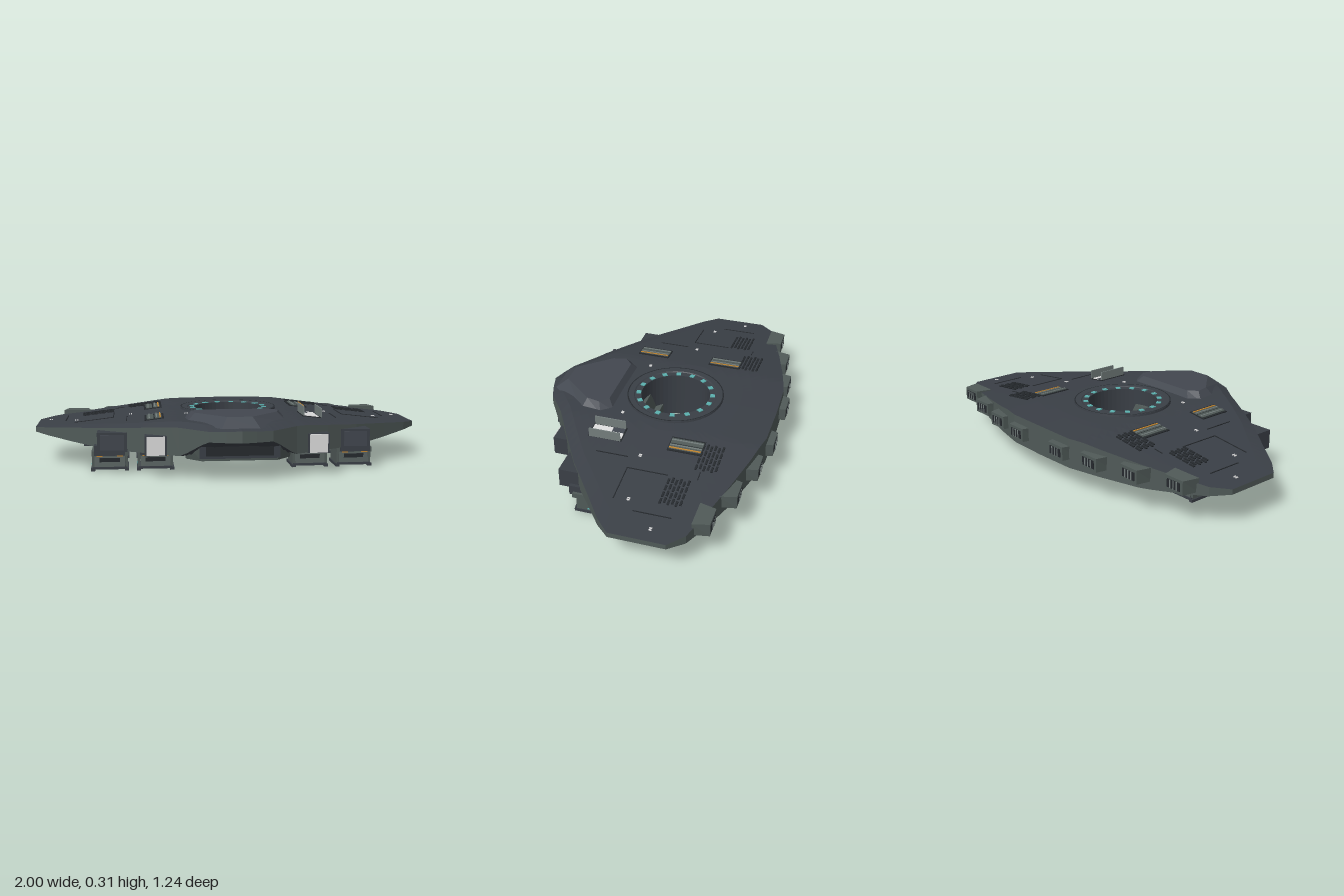
import * as THREE from 'three';

const mat = (name, color) => Object.assign(new THREE.MeshStandardMaterial({ color, flatShading: true }), { name });
const M = {
  hull: mat('slate hull', 0x3a3f46),
  panel: mat('raised panel', 0x42474f),
  wall: mat('grey green wall', 0x505a58),
  trim: mat('dark trim', 0x25292d),
  metal: mat('light metal', 0x737d7c),
  white: mat('white interior', 0xdcdcdc),
  teal: mat('teal light', 0x5bb0ae),
  orange: mat('orange mark', 0xc4862f),
};
const CZ = -0.06; // centre of the round shaft

// Piecewise linear lookup
function lookup(table, v) {
  for (let i = 1; i < table.length; i++) {
    const [a, ya] = table[i - 1], [b, yb] = table[i];
    if (v <= b) return ya + (yb - ya) * (v - a) / (b - a);
  }
  return table[table.length - 1][1];
}

// Joins closed rings of points, listed counterclockwise from above and top to bottom
function loft(parent, name, rings, material) {
  const pos = [], index = [], n = rings[0].length;
  rings.forEach(r => r.forEach(p => pos.push(...p)));
  for (let i = 0; i < rings.length - 1; i++) for (let j = 0; j < n; j++) {
    const a = i * n + j, d = i * n + (j + 1) % n, b = a + n, c = d + n;
    index.push(a, b, c, a, c, d);
  }
  const g = new THREE.BufferGeometry();
  g.setAttribute('position', new THREE.Float32BufferAttribute(pos, 3));
  g.setIndex(index);
  const flat = g.toNonIndexed();
  flat.computeVertexNormals();
  const mesh = new THREE.Mesh(flat, material);
  mesh.name = name;
  parent.add(mesh);
  return mesh;
}

// Solid between two plan polygons
function prism(parent, name, top, yTop, bottom, yBottom, material) {
  const at = (pts, y) => pts.map(([x, z]) => [x, y, z]);
  const mid = (pts, y) => {
    const cx = pts.reduce((s, p) => s + p[0], 0) / pts.length, cz = pts.reduce((s, p) => s + p[1], 0) / pts.length;
    return pts.map(() => [cx, y, cz]);
  };
  return loft(parent, name, [mid(top, yTop), at(top, yTop), at(bottom, yBottom), mid(bottom, yBottom)], material);
}
// Completes a right half, listed front to back, with its mirror image
const mirror = half => [...half, ...half.slice().reverse().filter(p => p[0] > 0).map(([x, z]) => [-x, z])];
const rect = (x0, x1, z0, z1) => [[x0, z1], [x1, z1], [x1, z0], [x0, z0]];

function box(parent, name, w, h, d, x, y, z, material) {
  const mesh = new THREE.Mesh(new THREE.BoxGeometry(w, h, d), material);
  mesh.position.set(x, y, z);
  mesh.name = name;
  parent.add(mesh);
  return mesh;
}
function group(parent, name) {
  const g = new THREE.Group();
  g.name = name;
  parent.add(g);
  return g;
}

const deckTable = [[0, 0.272], [0.3, 0.268], [1, 0.185]];
const keelTable = [[0, 0.112], [0.62, 0.112], [0.8, 0.132], [1, 0.16]];
const deckY = (x, z) => lookup(deckTable, Math.abs(x)) - Math.max(0, z - 0.45) * 0.13 - Math.max(0, -z - 0.4) * 0.05;
const keelY = (x, z) => lookup(keelTable, Math.abs(x)) + Math.min(0.08, Math.max(0, z - 0.47) * 0.9);

function buildHull(root) {
  const corners = mirror([[0, 0.61], [0.07, 0.592], [0.15, 0.565], [0.28, 0.465], [0.45, 0.365], [0.62, 0.26], [0.8, 0.125],
    [0.93, 0.03], [1, -0.04], [1, -0.31], [0.93, -0.38], [0.85, -0.41], [0.6, -0.49], [0.4, -0.545], [0.22, -0.585], [0, -0.59]]);
  const outline = [];
  corners.forEach(([x, z], i) => {
    const [x2, z2] = corners[(i + 1) % corners.length];
    for (let k = 0; k < 4; k++) outline.push([x + (x2 - x) * k / 4, z + (z2 - z) * k / 4]);
  });
  const ring = (f, height) => outline.map(([x, z]) => {
    const r = Math.hypot(x, z - CZ), s = (0.235 + (r - 0.235) * f) / r;
    const px = x * s, pz = CZ + (z - CZ) * s;
    return [px, height(px, pz), pz];
  });
  const steps = [0, 0.1, 0.2, 0.35, 0.5, 0.65, 0.76, 0.86];
  const top = steps.map(f => ring(f, deckY));
  // The front rim is bevelled
  const rim = ring(1, (x, z) => deckY(x, z) - (z > -0.04 ? 0.028 * (1 - Math.abs(x)) * Math.min(1, Math.abs(x) * 3 + 0.1) : 0));
  const keel = [...steps, 1].map(f => ring(f, keelY)).reverse();
  loft(root, 'deck', [...top, rim], M.hull);
  loft(root, 'rimWall', [rim, keel[0]], M.wall);
  loft(root, 'underside', keel, M.hull);
}

function buildShaft(root) {
  const shaft = group(root, 'centralShaft');
  shaft.position.z = CZ;
  const profile = [[0.178, 0.03], [0.22, 0.03], [0.25, 0.055], [0.25, 0.09], [0.235, 0.12], [0.235, 0.26], [0.25, 0.268],
    [0.248, 0.279], [0.215, 0.279], [0.21, 0.275], [0.178, 0.275], [0.178, 0.03]].map(p => new THREE.Vector2(...p));
  const collar = new THREE.Mesh(new THREE.LatheGeometry(profile, 48), M.hull);
  collar.name = 'collar';
  shaft.add(collar);
  // Thin seam round the collar
  const seam = new THREE.Mesh(new THREE.RingGeometry(0.243, 0.249, 48), M.trim);
  seam.name = 'collarSeam';
  seam.rotation.x = -Math.PI / 2;
  seam.position.y = 0.281;
  shaft.add(seam);
  for (let i = 0; i < 16; i++) {
    const spoke = group(shaft, 'shaftLight');
    spoke.rotation.y = (i + 0.5) * Math.PI / 8;
    box(spoke, 'upperLight', 0.024, 0.006, 0.024, 0, 0.276, 0.191, M.teal);
    box(spoke, 'lowerLight', 0.024, 0.006, 0.026, 0, 0.03, 0.195, M.teal);
    box(spoke, 'collarRib', 0.014, 0.03, 0.01, 0, 0.073, 0.25, M.wall);
  }
}

function buildNose(root) {
  prism(root, 'nosePlate', mirror([[0.06, 0.51], [0.2, 0.35], [0.215, 0.28], [0.17, 0.24]]), 0.302,
    mirror([[0.09, 0.57], [0.245, 0.37], [0.255, 0.26], [0.21, 0.205]]), 0.255, M.panel);
  const chin = group(root, 'chin');
  prism(chin, 'chinBlock', mirror([[0.2, 0.525], [0.27, 0.46], [0.25, 0.1]]), 0.195,
    mirror([[0.18, 0.515], [0.25, 0.44], [0.24, 0.08]]), 0.095, M.wall);
  prism(chin, 'chinKeel', mirror([[0.2, 0.42], [0.24, 0.05]]), 0.1, mirror([[0.19, 0.2], [0.21, 0.05]]), 0.045, M.wall);
  box(chin, 'chinFrame', 0.38, 0.075, 0.012, 0, 0.145, 0.522, M.hull);
  box(chin, 'chinWindow', 0.32, 0.05, 0.008, 0, 0.145, 0.526, M.trim);
}

// Side-facing bays in the front wall, engines and fins; s is the side
function buildSide(root, s) {
  const side = group(root, s > 0 ? 'leftSide' : 'rightSide');
  box(side, 'innerBay', 0.105, 0.095, 0.12, s * 0.392, 0.157, 0.38, M.hull);
  box(side, 'innerBayOpening', 0.088, 0.09, 0.006, s * 0.392, 0.157, 0.442, M.white);
  box(side, 'outerBay', 0.145, 0.095, 0.11, s * 0.6, 0.157, 0.265, M.hull);
  box(side, 'outerBayOpening', 0.115, 0.075, 0.006, s * 0.6, 0.157, 0.322, M.panel);

  for (const [x, z] of [[0.16, -0.62], [0.37, -0.59], [0.59, -0.54], [0.805, -0.47]]) {
    const engine = group(side, 'rearEngine');
    engine.position.set(s * x, 0, z);
    prism(engine, 'engineBody', [[-0.075, 0.08], [0.075, 0.08], [0.055, 0], [-0.055, 0]], 0.222,
      [[-0.07, 0.08], [0.07, 0.08], [0.055, 0], [-0.055, 0]], 0.155, M.wall);
    box(engine, 'engineNozzle', 0.08, 0.04, 0.004, 0, 0.188, -0.001, M.trim);
    for (const v of [-0.02, 0, 0.02]) box(engine, 'nozzleVane', 0.006, 0.04, 0.004, v, 0.188, -0.003, M.metal);
  }

  box(side, 'underFin', 0.16, 0.006, 0.1, s * 0.82, 0.117, -0.18, M.wall);
  box(side, 'finStrut', 0.06, 0.03, 0.06, s * 0.79, 0.13, -0.18, M.hull);
  box(side, 'bellyBlock', 0.5, 0.03, 0.08, s * 0.5, 0.108, 0, M.hull);

  for (const x of [0.39, 0.615]) for (const z of [0.155, -0.175]) buildPod(side, s * x, z, s);
}

// Landing pod: mount, hollow skirt and flared foot walls
function buildPod(parent, x, z, s) {
  const pod = group(parent, 'landingPod');
  pod.position.set(x, 0, z);
  box(pod, 'podMount', 0.15, 0.05, 0.22, 0, 0.107, 0, M.hull);
  box(pod, 'podTop', 0.178, 0.025, 0.18, 0, 0.088, 0, M.wall);
  box(pod, 'podCore', 0.13, 0.05, 0.11, 0, 0.058, 0, M.wall);
  box(pod, 'podInterior', 0.12, 0.004, 0.1, 0, 0.032, 0, M.metal);
  for (const k of [-1, 1]) {
    box(pod, 'sideSkirt', 0.012, 0.078, 0.14, k * 0.082, 0.042, 0, M.wall);
    box(pod, 'sideFoot', 0.02, 0.014, 0.16, k * 0.083, 0.007, 0, M.hull);
    box(pod, 'endSkirt', 0.15, 0.06, 0.01, 0, 0.048, k * 0.064, M.wall).rotation.x = -k * 0.2;
    box(pod, 'endFoot', 0.17, 0.012, 0.02, 0, 0.014, k * 0.07, M.hull);
    box(pod, 'endGrille', 0.1, 0.02, 0.004, 0, 0.054, k * 0.073, M.trim);
    box(pod, 'podLamp', 0.03, 0.01, 0.01, k * 0.05, 0.08, 0.094, M.orange);
  }
  box(pod, 'podSideLight', 0.005, 0.006, 0.03, s * 0.09, 0.025, 0, M.teal);
}

// Hatches, grilles, seams and marks lying on the sloping deck
function buildDeckDetails(root, s) {
  const place = (name, x, z) => {
    const g = group(root, name);
    g.position.set(s * x, deckY(x, z) + 0.002, z);
    g.rotation.z = x > 0.3 ? -s * 0.118 : 0;
    return g;
  };
  for (const z of [0.17, -0.23]) {
    const open = s > 0 && z > 0, hatch = place(open ? 'openHatch' : 'hatch', 0.393, z);
    box(hatch, 'hatchFrame', 0.096, 0.004, 0.17, 0, 0, 0, M.trim);
    if (open) {
      box(hatch, 'hatchInterior', 0.07, 0.005, 0.16, 0, 0.002, 0, M.white);
      box(hatch, 'hatchStep', 0.03, 0.006, 0.06, -0.02, 0.003, -0.05, M.panel);
      for (const k of [-1, 1]) box(hatch, 'hatchDoor', 0.006, 0.046, 0.16, k * 0.045, 0.024, 0, M.metal).rotation.z = 0.12;
    } else {
      for (const k of [-1, 1]) box(hatch, 'hatchDoor', 0.034, 0.006, 0.16, k * 0.02, 0.002, 0, M.wall);
      for (const v of [-0.024, 0.012]) box(hatch, 'hatchRib', 0.006, 0.004, 0.156, v, 0.006, 0, M.metal);
      box(hatch, 'hatchStripe', 0.007, 0.004, 0.156, 0.03, 0.006, 0, M.orange);
    }
  }
  for (const [x, z, w] of [[0.44, -0.36, 0.18], [0.69, -0.26, 0.17]]) {
    const grille = place('grille', x, z);
    for (let i = 0; i < 6; i++) for (let j = 0; j < 4; j++) {
      box(grille, 'grilleSlat', w / 5.5, 0.005, 0.01, (j - 1.5) * w / 4 + (i % 2) * 0.01, 0.001, (i - 2.5) * 0.019, M.trim);
    }
  }
  for (const [x, z] of [[0.935, -0.22], [0.79, -0.07], [0.51, -0.035], [0.23, 0.15]]) {
    const mark = place('deckMark', x, z);
    for (const v of [-0.007, 0.004]) box(mark, 'markBar', 0.006, 0.004, 0.014, v, 0.001, 0, M.white);
  }
  for (const [x, z, w, d] of [[0.6, -0.1, 0.004, 0.2], [0.7, 0, 0.2, 0.004], [0.85, -0.2, 0.004, 0.18], [0.53, 0.1, 0.004, 0.16], [0.57, -0.34, 0.05, 0.004]]) {
    box(place('panelSeam', x, z), 'seam', w, 0.003, d, 0, 0, 0, M.trim);
  }
}

export function createModel() {
  const root = new THREE.Group();
  root.name = 'spacecraft';
  buildHull(root);
  buildShaft(root);
  buildNose(root);
  for (const s of [-1, 1]) {
    buildSide(root, s);
    buildDeckDetails(root, s);
  }
  return root;
}
